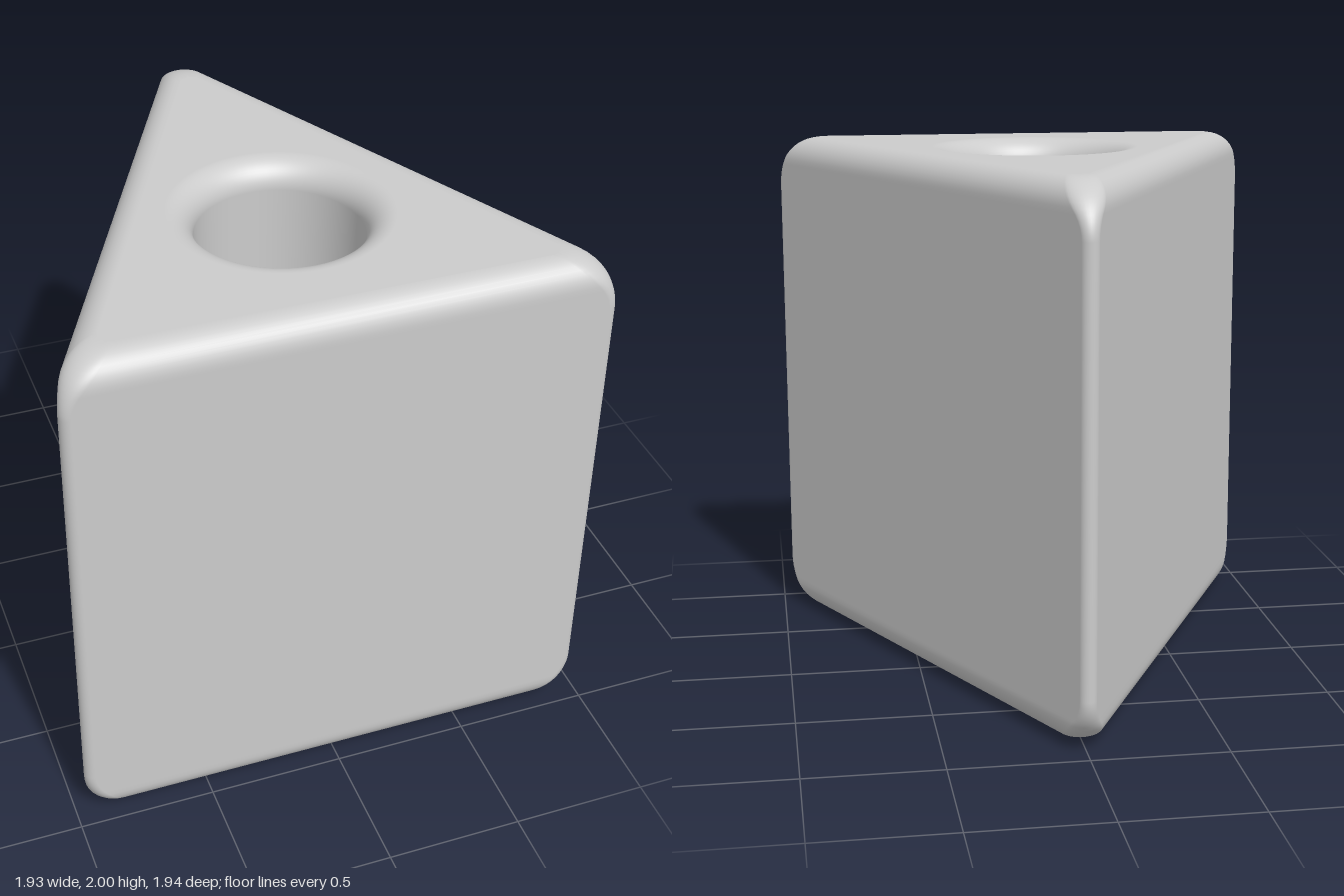
import * as THREE from 'three';
import { mergeVertices, mergeGeometries } from 'three/addons/utils/BufferGeometryUtils.js';

const HEIGHT = 2;
const BEVEL = 0.1;        // rounding along straight edges
const TIP = 0.2;          // taller rounding at the corners
const TIP_RADIUS = 0.035; // plan radius of the upright edges
const APEX = 1.015, BASE = -0.97, HALF = 0.985;
const HOLE = { y: -0.3, radius: 0.3 };

// Plan coordinates: x right, y towards the back
const side = Math.hypot(HALF, APEX - BASE);
const inradius = HALF * (APEX - BASE) / (HALF + side);
const incentre = new THREE.Vector2(0, BASE + inradius);
const slant = Math.atan2(HALF, APEX - BASE);
const corners = [
  [new THREE.Vector2(HALF, BASE), -Math.PI / 2, slant],
  [new THREE.Vector2(0, APEX), slant, Math.PI - slant],
  [new THREE.Vector2(-HALF, BASE), Math.PI - slant, Math.PI * 1.5],
];

// Triangle moved inwards by inset, with corners of the given radius
function outline(inset, radius, steps = 12) {
  const points = [];
  for (const [corner, from, to] of corners) {
    const centre = corner.clone().lerp(incentre, (inset + radius) / inradius);
    for (let i = 0; i <= steps; i++) {
      const a = from + (to - from) * i / steps;
      points.push(new THREE.Vector2(centre.x + radius * Math.cos(a), centre.y + radius * Math.sin(a)));
    }
  }
  return points;
}

function circle(radius, steps = 64) {
  return Array.from({ length: steps }, (_, i) => {
    const a = i / steps * Math.PI * 2;
    return new THREE.Vector2(radius * Math.cos(a), HOLE.y + radius * Math.sin(a));
  });
}

// Quarter-round: how far the surface has drawn back at a depth below the face
const round = (depth, size, reach) =>
  depth >= reach ? 0 : size * (1 - Math.sqrt(1 - ((reach - depth) / reach) ** 2));

function outerRing(depth) {
  const inset = round(depth, BEVEL, BEVEL);
  const tipRetreat = round(depth, 0.24, TIP);
  const k = 1 / Math.sin(slant);
  return outline(inset, TIP_RADIUS + Math.max(0, (tipRetreat - k * inset) / (k - 1)));
}

const holeRing = depth => circle(HOLE.radius + round(depth, BEVEL, BEVEL));

// Skin through rings of equal point count, given as { y, points }
function loft(rings) {
  const n = rings[0].points.length, positions = [], index = [];
  for (const { y, points } of rings) for (const p of points) positions.push(p.x, y, -p.y);
  for (let i = 0; i < rings.length - 1; i++) {
    for (let j = 0; j < n; j++) {
      const a = i * n + j, b = i * n + (j + 1) % n;
      index.push(a, b, b + n, a, b + n, a + n);
    }
  }
  const geometry = new THREE.BufferGeometry();
  geometry.setAttribute('position', new THREE.Float32BufferAttribute(positions, 3));
  geometry.setIndex(index);
  return geometry;
}

// Flat end face with the hole cut out
function cap(y, facingDown) {
  const shape = new THREE.Shape(outerRing(0));
  shape.holes.push(new THREE.Path(holeRing(0)));
  const geometry = new THREE.ShapeGeometry(shape).rotateX(-Math.PI / 2).translate(0, y, 0);
  geometry.deleteAttribute('normal');
  geometry.deleteAttribute('uv');
  if (facingDown) geometry.setIndex(Array.from(geometry.index.array).reverse());
  return geometry;
}

export function createModel() {
  const group = new THREE.Group();
  group.name = 'triangularBlock';

  // Depths are closer together near the faces
  const depths = (reach, steps) => Array.from({ length: steps + 1 },
    (_, i) => reach * (1 - Math.cos(i / steps * Math.PI / 2)));
  const levels = (reach, ring) => {
    const list = depths(reach, 14);
    return [
      ...list.map(d => ({ y: d, points: ring(d) })),
      ...list.reverse().map(d => ({ y: HEIGHT - d, points: ring(d) })),
    ];
  };

  // Outer walls, bore and end faces share vertices for smooth shading
  let geometry = mergeGeometries([
    loft(levels(TIP, outerRing)),
    loft(levels(BEVEL, holeRing).reverse()),
    cap(HEIGHT, false),
    cap(0, true),
  ]);
  geometry = mergeVertices(geometry, 1e-5);
  geometry.computeVertexNormals();

  const block = new THREE.Mesh(geometry, new THREE.MeshStandardMaterial({ color: 0xcccccc }));
  block.name = 'drilledPrism';
  group.add(block);
  return group;
}
